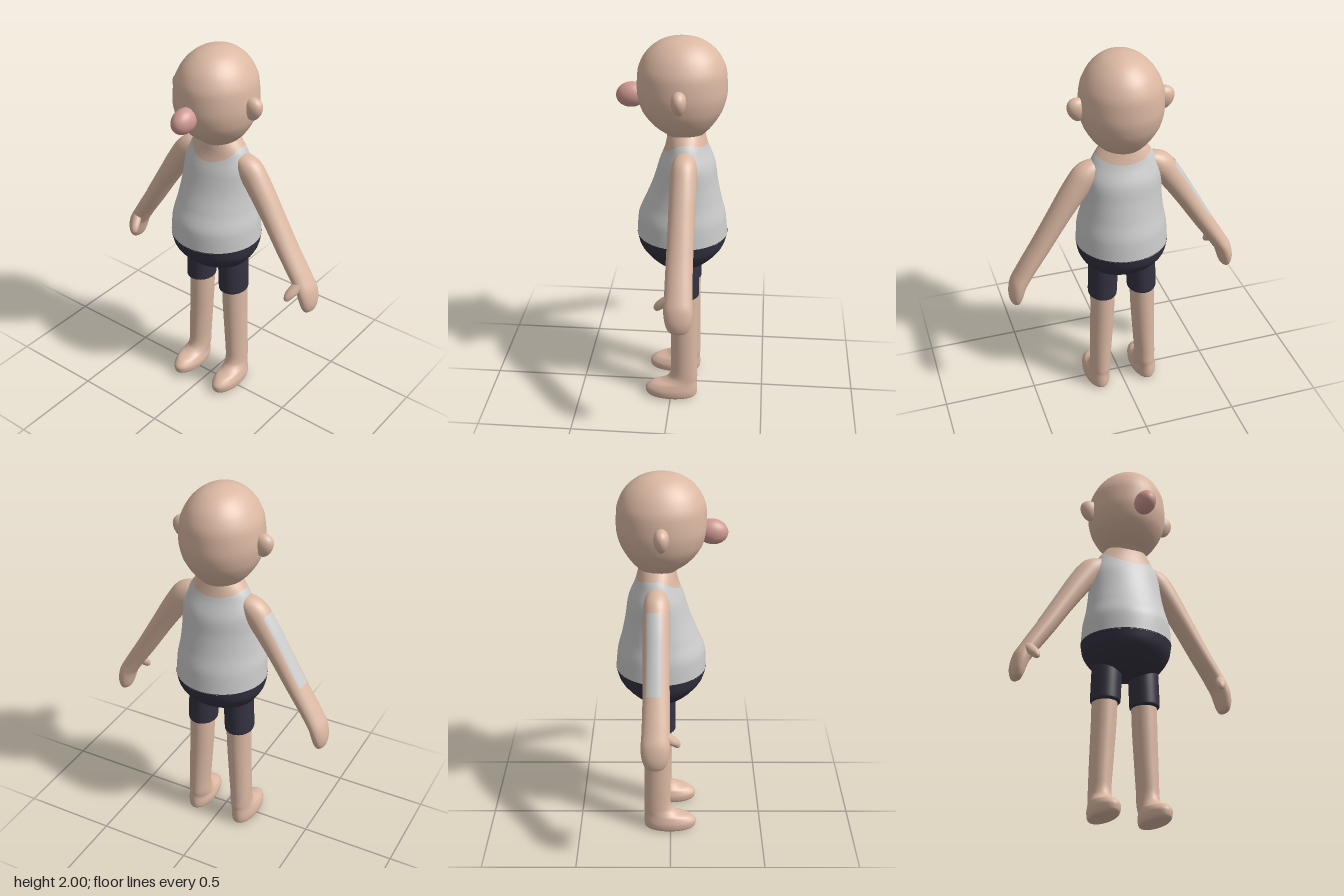
import * as THREE from 'three';
import { ParametricGeometry } from 'three/addons/geometries/ParametricGeometry.js';
import { mergeVertices } from 'three/addons/utils/BufferGeometryUtils.js';

const mat = (color) => new THREE.MeshStandardMaterial({ color, side: THREE.DoubleSide });

// Smooth, overshoot-free interpolation of column k of the ring list
function sample(rings, k, t) {
  const n = rings.length - 1;
  const i = Math.min(n - 1, Math.max(0, Math.floor(t)));
  const f = t - i;
  const d = (j) => rings[j + 1][k] - rings[j][k];
  const slope = (j) => {
    if (j === 0) return d(0);
    if (j === n) return d(n - 1);
    const p = d(j - 1), q = d(j);
    return p * q > 0 ? (2 * p * q) / (p + q) : 0;
  };
  const a = rings[i][k], b = rings[i + 1][k], f2 = f * f, f3 = f2 * f;
  return a * (2 * f3 - 3 * f2 + 1) + slope(i) * (f3 - 2 * f2 + f)
    + b * (3 * f2 - 2 * f3) + slope(i + 1) * (f3 - f2);
}

// Skin a surface over elliptical rings [x, y, z, rx, rz], listed from bottom to top.
// from/to limit the span in ring steps (numbers or functions of the angle), u0/u1 the arc.
function loft(rings, { side = 1, from = 0, to = rings.length - 1, u0 = 0, u1 = 1, grow = 0, nu = 40, nv = 48 } = {}) {
  const n = rings.length - 1;
  const tilt = rings.map((_, i) => {
    const p = rings[Math.max(0, i - 1)], q = rings[Math.min(n, i + 1)];
    return [Math.atan2(q[0] - p[0], q[1] - p[1])];
  });
  const at = (limit, a) => (typeof limit === 'function' ? limit(a) : limit);
  const geometry = new ParametricGeometry((u, v, target) => {
    const s = side > 0 ? u : 1 - u;
    const a = ((u0 + (u1 - u0) * s) % 1) * Math.PI * 2;
    const t = Math.min(n, Math.max(0, at(from, a) + (at(to, a) - at(from, a)) * v));
    const [x, y, z, rx, rz] = [0, 1, 2, 3, 4].map((k) => sample(rings, k, t));
    const lean = sample(tilt, 0, t);
    const w = Math.sin(a) * (rx + grow);
    target.set(side * (x + w * Math.cos(lean)), y - w * Math.sin(lean), z + Math.cos(a) * (rz + grow));
  }, nu, nv);
  geometry.deleteAttribute('normal');
  geometry.deleteAttribute('uv');
  const welded = mergeVertices(geometry, 1e-5);
  welded.computeVertexNormals();
  return welded;
}

const HEAD = [
  [0, 1.49, -0.065, 0.09, 0.085], [0, 1.515, -0.06, 0.11, 0.105], [0, 1.545, -0.053, 0.14, 0.14],
  [0, 1.59, -0.047, 0.172, 0.178], [0, 1.65, -0.045, 0.199, 0.21], [0, 1.73, -0.045, 0.211, 0.226],
  [0, 1.82, -0.045, 0.203, 0.222], [0, 1.89, -0.045, 0.175, 0.198], [0, 1.945, -0.045, 0.133, 0.154],
  [0, 1.98, -0.045, 0.085, 0.1], [0, 1.996, -0.045, 0.035, 0.045], [0, 2, -0.045, 0, 0],
];
// Evenly spaced in height, so a ring step equals 0.1 units
const TORSO = [
  [0, 0.95, -0.05, 0.24, 0.236], [0, 1.05, -0.048, 0.234, 0.228], [0, 1.15, -0.055, 0.215, 0.196],
  [0, 1.25, -0.065, 0.203, 0.166], [0, 1.35, -0.072, 0.197, 0.143], [0, 1.45, -0.07, 0.162, 0.106],
  [0, 1.55, -0.065, 0.09, 0.088],
];
const HIPS = [
  [0, 0.768, -0.05, 0, 0], [0, 0.774, -0.05, 0.09, 0.075], [0, 0.8, -0.05, 0.16, 0.13],
  [0, 0.85, -0.05, 0.207, 0.188], [0, 0.9, -0.05, 0.232, 0.222], [0, 0.955, -0.05, 0.241, 0.237],
];
const SHORTS_LEG = [
  [0.11, 0.62, -0.06, 0.05, 0.055], [0.11, 0.622, -0.06, 0.07, 0.08], [0.11, 0.632, -0.06, 0.077, 0.087],
  [0.107, 0.72, -0.06, 0.078, 0.087], [0.104, 0.8, -0.06, 0.078, 0.086], [0.1, 0.88, -0.06, 0.065, 0.075],
];
const LEG = [
  [0.137, 0, -0.005, 0, 0], [0.137, 0.003, -0.005, 0.055, 0.122], [0.137, 0.018, -0.003, 0.067, 0.14],
  [0.137, 0.045, -0.002, 0.07, 0.143], [0.136, 0.078, -0.017, 0.063, 0.127], [0.133, 0.1, -0.05, 0.058, 0.093],
  [0.131, 0.13, -0.068, 0.056, 0.077], [0.13, 0.18, -0.072, 0.056, 0.072], [0.123, 0.33, -0.071, 0.06, 0.072],
  [0.114, 0.52, -0.069, 0.064, 0.074], [0.11, 0.67, -0.068, 0.066, 0.075],
];
const ARM = [
  [0.588, 0.673, -0.075, 0, 0], [0.588, 0.684, -0.075, 0.022, 0.04], [0.584, 0.73, -0.075, 0.038, 0.064],
  [0.57, 0.79, -0.074, 0.043, 0.072], [0.53, 0.86, -0.072, 0.045, 0.069], [0.44, 1.0, -0.07, 0.05, 0.067],
  [0.345, 1.155, -0.07, 0.056, 0.066], [0.262, 1.285, -0.07, 0.064, 0.067], [0.2, 1.37, -0.07, 0.068, 0.066],
  [0.14, 1.425, -0.07, 0.035, 0.045], [0.11, 1.44, -0.07, 0, 0],
];
const THUMB = [
  [0.514, 0.764, 0.036, 0, 0], [0.515, 0.77, 0.034, 0.013, 0.013], [0.52, 0.79, 0.024, 0.022, 0.025],
  [0.534, 0.82, -0.002, 0.028, 0.031], [0.55, 0.86, -0.04, 0.028, 0.03],
];

export function createModel() {
  const model = new THREE.Group();
  const skin = mat(0xdbb8a3), cloth = mat(0xcccccc), navy = mat(0x343241), pink = mat(0xd09a93);
  const add = (name, geometry, material) => {
    const mesh = new THREE.Mesh(geometry, material);
    mesh.name = name;
    model.add(mesh);
    return mesh;
  };

  // Head and nose
  add('head', loft(HEAD), skin);
  const nose = add('nose', new THREE.SphereGeometry(1, 32, 24), pink);
  nose.scale.set(0.055, 0.064, 0.078);
  nose.position.set(0, 1.698, 0.208);
  nose.rotation.x = 0.15;

  // Torso split along a scooped neckline
  const neckline = (a) => {
    const c = Math.cos(a);
    return (1.485 - (c > 0 ? 0.075 : 0.03) * c * c - 0.95) / 0.1;
  };
  add('shirt', loft(TORSO, { to: neckline }), cloth);
  add('neck', loft(TORSO, { from: neckline, nv: 12 }), skin);
  add('shortsHips', loft(HIPS), navy);

  // Paired parts
  for (const side of [1, -1]) {
    const label = side > 0 ? 'left' : 'right';
    add(label + 'Arm', loft(ARM, { side }), skin);
    add(label + 'Thumb', loft(THUMB, { side, nu: 20, nv: 20 }), skin);
    add(label + 'Leg', loft(LEG, { side }), skin);
    add(label + 'ShortsLeg', loft(SHORTS_LEG, { side }), navy);

    // Ear: an ellipsoid narrowing towards the lobe
    const earShape = new THREE.SphereGeometry(1, 28, 20);
    const p = earShape.attributes.position;
    for (let i = 0; i < p.count; i++) {
      const k = 0.88 + 0.18 * p.getY(i);
      p.setXYZ(i, p.getX(i) * k * 0.056, p.getY(i) * 0.061, p.getZ(i) * k * 0.042);
    }
    earShape.computeVertexNormals();
    const ear = add(label + 'Ear', earShape, skin);
    ear.position.set(side * 0.222, 1.73, -0.045);
    ear.rotation.z = side * -0.1;
  }

  // Grey strip along the outside of the right arm
  add('rightArmStrip', loft(ARM, { side: -1, from: 5, to: 7.6, u0: 0.19, u1: 0.37, grow: 0.002, nu: 12, nv: 24 }), cloth);

  return model;
}
